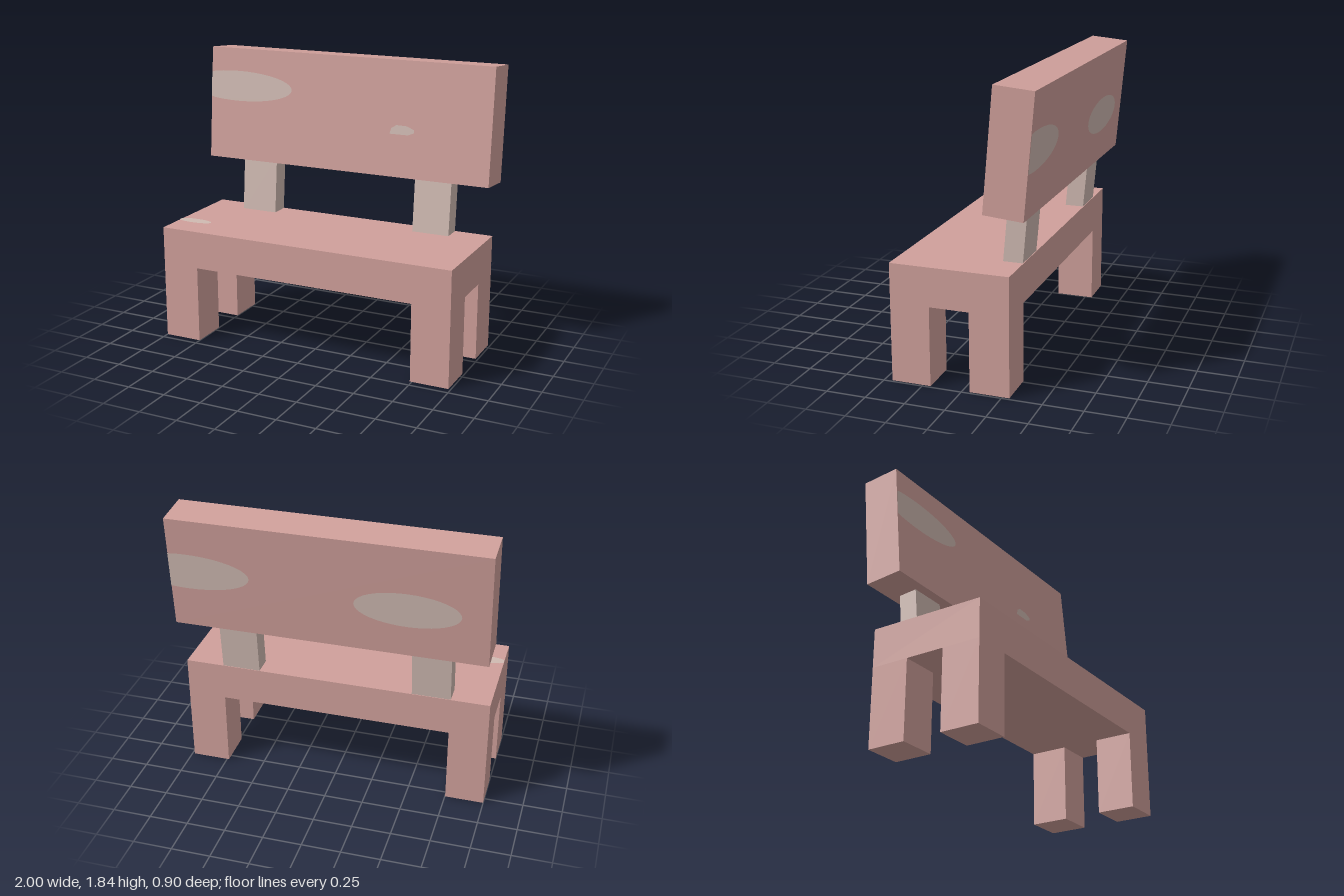
import * as THREE from 'three';

const TILT = THREE.MathUtils.degToRad(-5);
const GAP = 0.003; // lift of the worn patches above the surface

export function createModel() {
  const model = new THREE.Group();
  model.name = 'bench';
  const pink = new THREE.MeshStandardMaterial({ color: 0xd0a09b });
  pink.name = 'dusty pink';
  const worn = new THREE.MeshStandardMaterial({ color: 0xd0bab2 });
  worn.name = 'worn beige';

  const box = (name, w, h, d, x, y, z, material, parent = model) => {
    const mesh = new THREE.Mesh(new THREE.BoxGeometry(w, h, d), material);
    mesh.name = name;
    mesh.position.set(x, y, z);
    parent.add(mesh);
    return mesh;
  };

  // Flat outline facing +z
  const plate = (name, points, parent) => {
    const mesh = new THREE.Mesh(new THREE.ShapeGeometry(new THREE.Shape(points)), worn);
    mesh.name = name;
    parent.add(mesh);
    return mesh;
  };

  // Ellipse outline cut off at the board ends
  const oval = (cx, cy, rx, ry, minX, maxX) => {
    const points = [];
    for (let i = 0; i < 40; i++) {
      const a = (i / 40) * Math.PI * 2;
      const x = THREE.MathUtils.clamp(cx + rx * Math.cos(a), minX, maxX);
      points.push(new THREE.Vector2(x, cy + ry * Math.sin(a)));
    }
    return points;
  };

  // Seat and four legs
  box('seat', 1.985, 0.245, 0.745, -0.0075, 0.6225, 0.0775, pink);
  for (const [side, x] of [['right', -0.876], ['left', 0.861]]) {
    for (const [end, z] of [['Front', 0.326], ['Back', -0.171]]) {
      box(`${side}${end}Leg`, 0.248, 0.5, 0.248, x, 0.25, z, pink);
    }
  }
  const seatPatch = plate('seatPatch', oval(-0.89, -0.24, 0.122, 0.04, -1, 1), model);
  seatPatch.rotation.x = -Math.PI / 2;
  seatPatch.position.y = 0.745 + GAP;

  // Leaning posts between seat and backrest
  for (const [side, x] of [['right', -0.631], ['left', 0.613]]) {
    box(`${side}Post`, 0.246, 0.4, 0.122, x, 0.92, -0.245, worn).rotation.x = TILT;
  }

  // Leaning backrest with worn patches on both faces
  const back = new THREE.Group();
  back.name = 'backrest';
  back.position.set(0.005, 1.4575, -0.295);
  back.rotation.x = TILT;
  model.add(back);
  const half = 0.9925;
  const depth = 0.246;
  box('backBoard', half * 2, 0.743, depth, 0, 0, 0, pink, back);

  const chip = [[0.32, -0.097], [0.445, -0.097], [0.485, -0.08], [0.485, -0.06],
    [0.435, -0.04], [0.365, -0.038], [0.33, -0.06]].map(([x, y]) => new THREE.Vector2(x, y));
  const frontPatches = [
    plate('frontLargePatch', oval(-0.785, 0.122, 0.4, 0.1, -half, half), back),
    plate('frontSmallPatch', chip, back),
  ];
  for (const patch of frontPatches) patch.position.z = depth / 2 + GAP;

  const rearPatches = [
    plate('rearEdgePatch', oval(-0.88, 0.02, 0.4, 0.12, -half, half), back),
    plate('rearOvalPatch', oval(0.495, -0.05, 0.326, 0.115, -half, half), back),
  ];
  for (const patch of rearPatches) {
    patch.rotation.y = Math.PI;
    patch.position.z = -depth / 2 - GAP;
  }
  return model;
}
